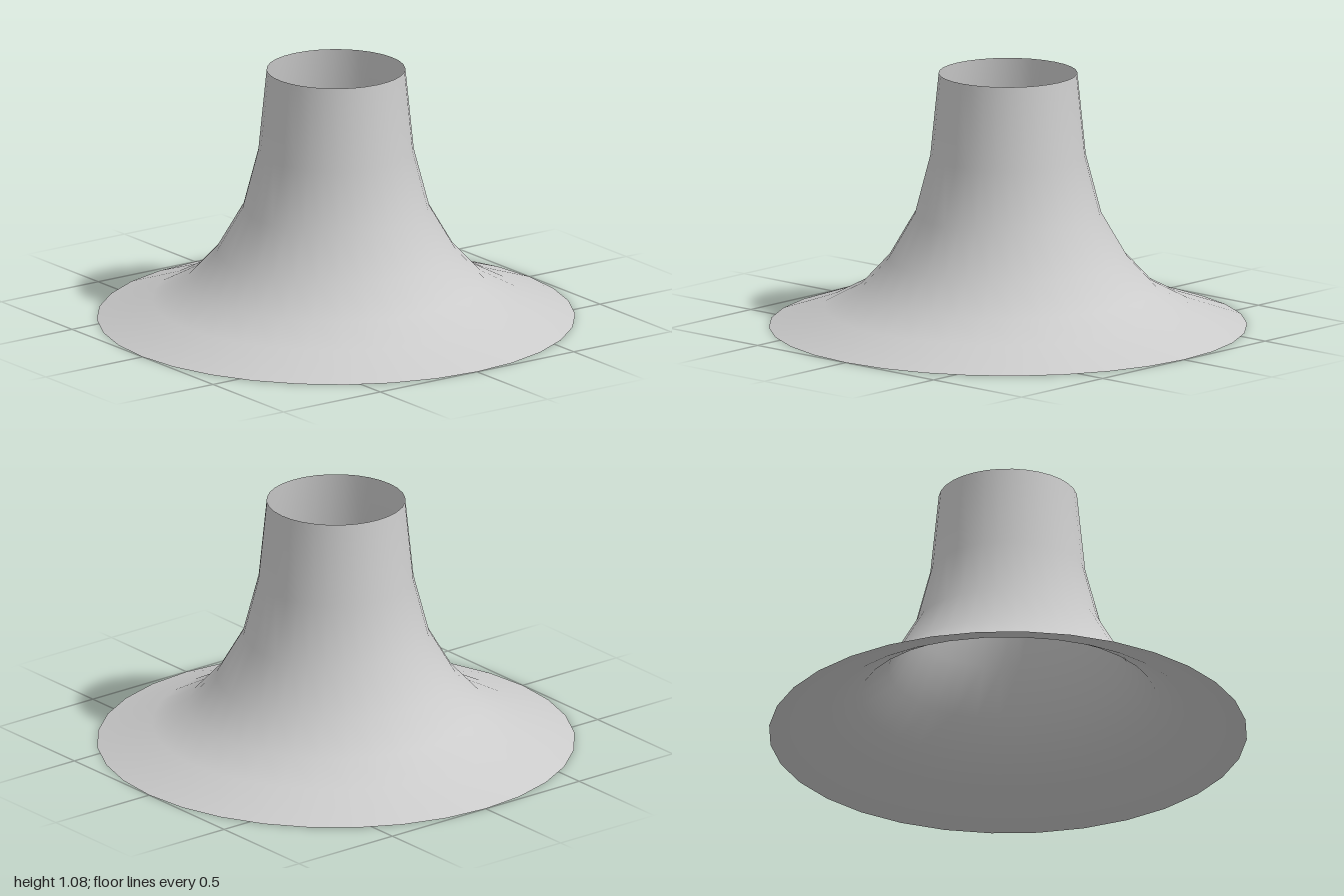
import * as THREE from 'three';

export function createModel() {
  const group = new THREE.Group();
  group.name = 'flaredFunnel';

  // Profile from the wide rim at the bottom up to the open neck (radius, height)
  const profile = [
    [1, 0], [0.77, 0.08], [0.62, 0.16], [0.5, 0.29],
    [0.39, 0.48], [0.325, 0.73], [0.29, 1.08],
  ].map(([r, y]) => new THREE.Vector2(r, y));

  // Thin open shell, smooth shaded, seen from both sides
  const shell = new THREE.Mesh(
    new THREE.LatheGeometry(profile, 32),
    new THREE.MeshStandardMaterial({ color: 0xcccccc, side: THREE.DoubleSide }),
  );
  shell.name = 'flaredShell';
  group.add(shell);

  return group;
}
